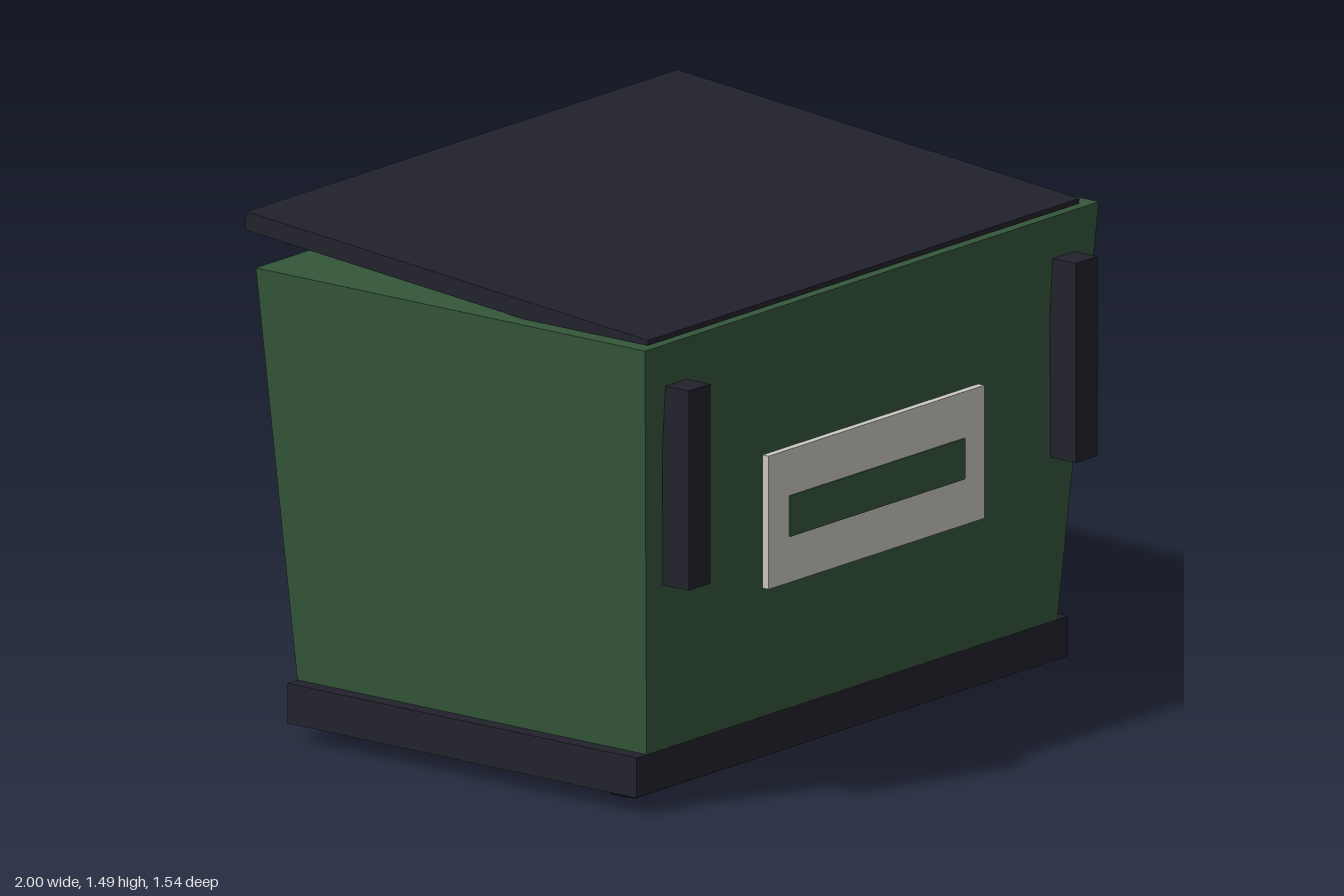
import * as THREE from 'three';

const mat = (name, color) => Object.assign(new THREE.MeshStandardMaterial({ color }), { name });

export function createModel() {
  const green = mat('bin green', 0x35573b);
  const dark = mat('dark plastic', 0x22222c);
  const pale = mat('pale grey', 0xcbc8c2);
  const model = new THREE.Group();
  model.name = 'wasteContainer';

  const add = (name, geometry, material, x, y, z) => {
    const mesh = new THREE.Mesh(geometry, material);
    mesh.name = name;
    mesh.position.set(x, y, z);
    model.add(mesh);
    return mesh;
  };
  const box = (name, w, h, d, material, x, y, z) =>
    add(name, new THREE.BoxGeometry(w, h, d), material, x, y, z);

  // Body: a box narrowed towards its base
  const bodyGeo = new THREE.BoxGeometry(2, 1.19, 1.382);
  const p = bodyGeo.attributes.position;
  for (let i = 0; i < p.count; i++) {
    if (p.getY(i) < 0) {
      p.setX(i, Math.sign(p.getX(i)) * 0.905);
      p.setZ(i, Math.sign(p.getZ(i)) * 0.62);
    }
  }
  bodyGeo.computeVertexNormals();
  add('body', bodyGeo, green, 0, 0.76, 0.002);

  // Base slab and the lid, raised at the back
  box('base', 1.9, 0.115, 1.24, dark, 0, 0.108, 0.003);
  box('lid', 1.9, 0.053, 1.432, dark, 0, 1.405, -0.052).rotation.x = 0.086;

  // Front label plate with its inset panel
  box('labelFrame', 0.95, 0.382, 0.022, pale, 0, 0.753, 0.698);
  box('labelPanel', 0.77, 0.117, 0.006, green, 0, 0.753, 0.711);

  // Upright handles and wheels, mirrored left and right
  const wheelGeo = new THREE.CylinderGeometry(0.085, 0.085, 0.056, 12).toNonIndexed();
  wheelGeo.computeVertexNormals();
  for (const [side, s] of [['left', 1], ['right', -1]]) {
    box(side + 'Handle', 0.095, 0.572, 0.093, dark, s * 0.853, 0.946, 0.722);
    add(side + 'Wheel', wheelGeo, dark, s * 0.81, 0.085, 0.484).rotation.x = Math.PI / 2;
  }
  return model;
}
